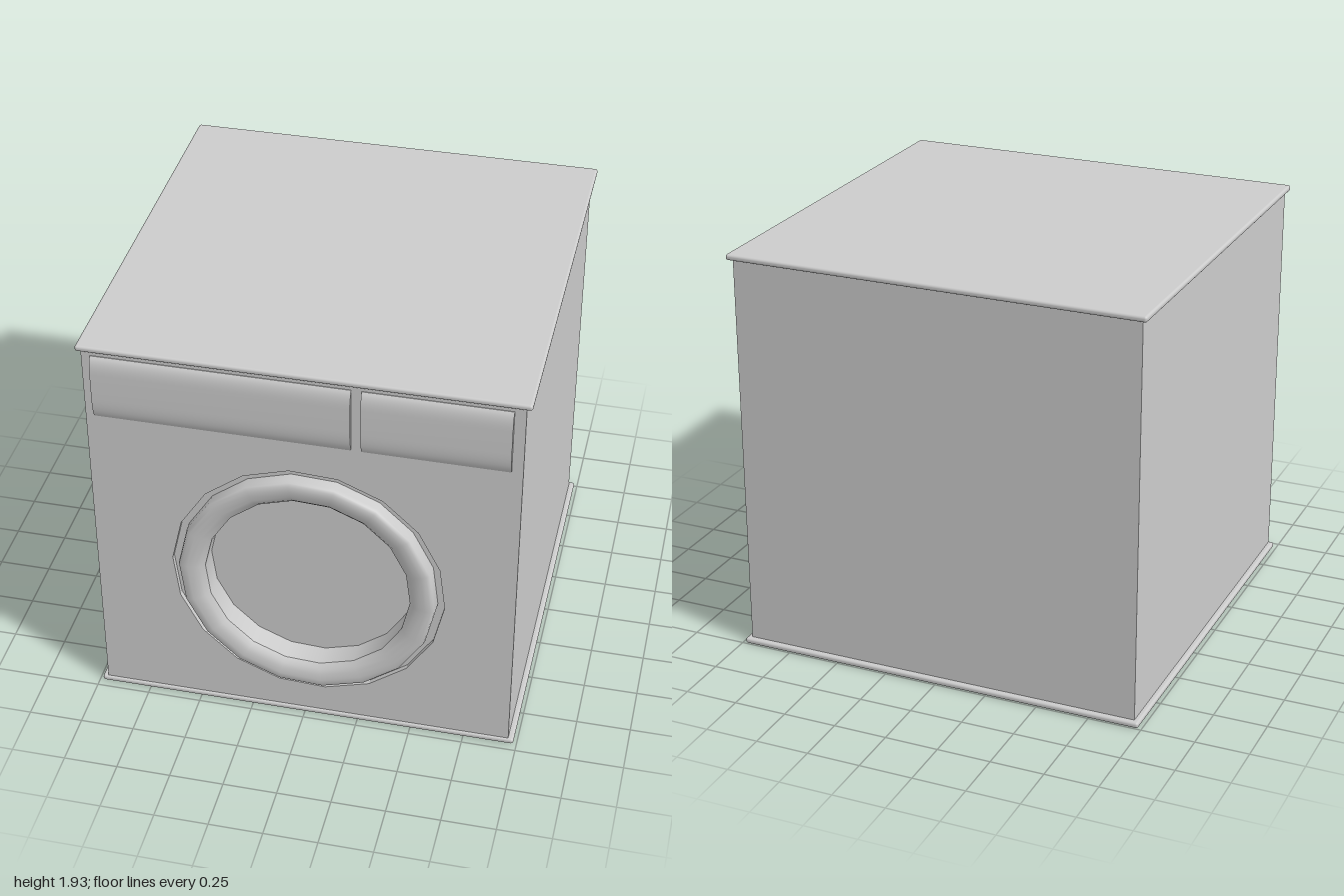
import * as THREE from 'three';
import { toCreasedNormals } from 'three/addons/utils/BufferGeometryUtils.js';
import { RoundedBoxGeometry } from 'three/addons/geometries/RoundedBoxGeometry.js';

const SIDES = 18;
const DOOR = { x: 0.02, y: 0.79 };
const FRONT = 0.955, BACK = -0.975, SLAB = 0.15;

export function createModel() {
  const model = new THREE.Group();
  model.name = 'washingMachine';
  const enamel = new THREE.MeshStandardMaterial({ color: 0xcccccc });
  enamel.name = 'light grey enamel';

  const add = (name, geometry, x = 0, y = 0, z = 0, parent = model) => {
    const mesh = new THREE.Mesh(geometry, enamel);
    mesh.name = name;
    mesh.position.set(x, y, z);
    parent.add(mesh);
    return mesh;
  };

  // Cabinet behind the door recess
  const depth = FRONT - SLAB - BACK;
  add('cabinet', new THREE.BoxGeometry(1.92, 1.89, depth), 0, 0.965, BACK + depth / 2);

  // Front of the cabinet, with an eighteen-sided door opening
  const front = new THREE.Shape([[-0.96, 0.02], [0.96, 0.02], [0.96, 1.91], [-0.96, 1.91]]
    .map(([x, y]) => new THREE.Vector2(x, y)));
  const rim = [];
  for (let i = 0; i < SIDES; i++) {
    const a = THREE.MathUtils.degToRad(-3 - i * 360 / SIDES);
    rim.push(new THREE.Vector2(DOOR.x + 0.625 * Math.cos(a), DOOR.y + 0.625 * Math.sin(a)));
  }
  front.holes.push(new THREE.Path(rim));
  add('cabinetFront', new THREE.ExtrudeGeometry(front, { depth: SLAB, bevelEnabled: false }),
    0, 0, FRONT - SLAB);

  // Overhanging top and bottom plates
  add('topPlate', new RoundedBoxGeometry(1.97, 0.028, 1.965, 3, 0.012), 0, 1.916, -0.0175);
  add('bottomPlate', new RoundedBoxGeometry(1.97, 0.028, 1.965, 3, 0.012), 0, 0.014, -0.0175);

  // Door parts are turned from (radius, z) profiles
  const door = new THREE.Group();
  door.name = 'door';
  door.position.set(DOOR.x, DOOR.y, 0);
  model.add(door);
  const turned = (name, profile) => {
    const points = profile.map(([r, z]) => new THREE.Vector2(r, z));
    const geometry = new THREE.LatheGeometry(points, SIDES, THREE.MathUtils.degToRad(7));
    add(name, geometry.rotateX(Math.PI / 2), 0, 0, 0, door);
  };
  turned('doorGroove', [[0.627, 0.93], [0.585, 0.93]]);
  turned('doorRing', [[0.59, 0.925], [0.59, 0.975], [0.585, 0.99], [0.57, 0.999],
    [0.545, 1], [0.515, 0.995], [0.49, 0.985], [0.47, 0.965]]);
  turned('doorInnerWall', [[0.47, 0.965], [0.47, 0.86]]);
  turned('doorGlass', [[0.47, 0.86], [0, 0.86]]);

  // Bulging drawer and control panels, swept along x
  const panel = (name, x0, x1) => {
    const profile = new THREE.Shape();
    profile.moveTo(-0.01, 1.57);
    profile.lineTo(0.003, 1.57);
    profile.bezierCurveTo(0.018, 1.59, 0.024, 1.63, 0.024, 1.68);
    profile.lineTo(0.024, 1.8);
    profile.bezierCurveTo(0.024, 1.84, 0.018, 1.87, 0.003, 1.885);
    profile.lineTo(-0.01, 1.885);
    const swept = new THREE.ExtrudeGeometry(profile,
      { depth: x1 - x0, bevelEnabled: false, curveSegments: 6 });
    swept.rotateY(-Math.PI / 2);
    add(name, toCreasedNormals(swept, 0.6), x1, 0, FRONT);
  };
  panel('drawerPanel', -0.92, 0.22);
  panel('controlPanel', 0.265, 0.91);

  return model;
}
